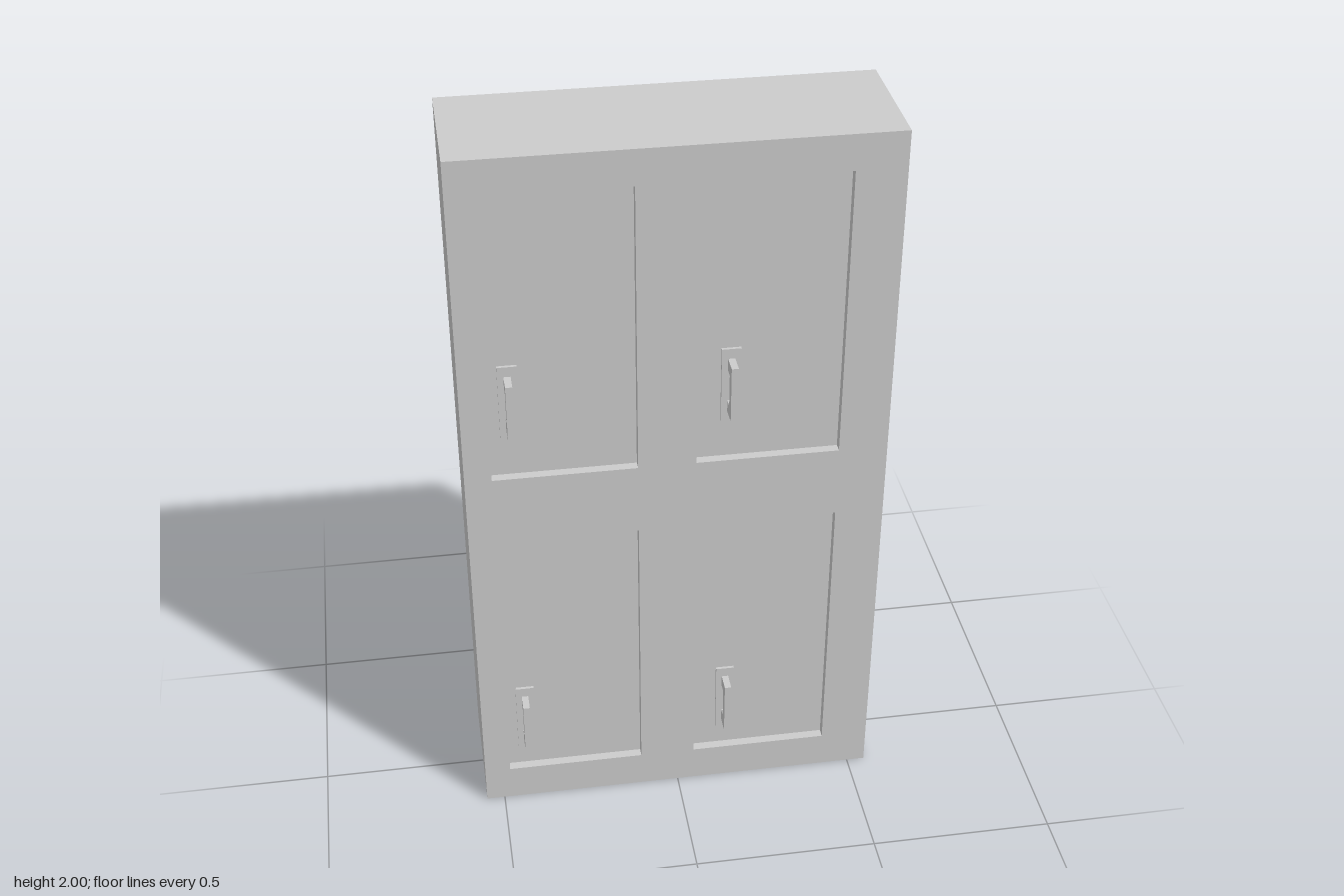
import * as THREE from 'three';

const FRONT = 0.16, BACK = -0.195, WIDTH = 1.1, HEIGHT = 2;
const DOOR_W = 0.375, DOOR_H = 0.8, LOCKER_DEPTH = 0.17, RECESS = 0.025;

const material = new THREE.MeshStandardMaterial({ color: 0xcccccc, side: THREE.DoubleSide });

function add(parent, name, geometry, x = 0, y = 0, z = 0) {
  const mesh = new THREE.Mesh(geometry, material);
  mesh.name = name;
  mesh.position.set(x, y, z);
  parent.add(mesh);
  return mesh;
}

const box = (w, h, d) => new THREE.BoxGeometry(w, h, d);

function rect(path, x0, y0, x1, y1) {
  path.moveTo(x0, y0);
  path.lineTo(x1, y0);
  path.lineTo(x1, y1);
  path.lineTo(x0, y1);
  path.closePath();
  return path;
}

// Back plate with a square-cornered pull standing out from it
function makeHandle() {
  const handle = new THREE.Group();
  handle.name = 'handle';
  add(handle, 'handlePlate', box(0.05, 0.212, 0.008), 0, 0, 0.004);
  // side profile: u runs outwards from the door, v runs up
  const profile = rect(new THREE.Shape(), 0.004, -0.078, 0.058, 0.078);
  profile.holes.push(rect(new THREE.Path(), 0.008, -0.045, 0.033, 0.045));
  const pull = new THREE.ExtrudeGeometry(profile, { depth: 0.018, bevelEnabled: false });
  pull.translate(0, 0, -0.009).rotateY(-Math.PI / 2);
  add(handle, 'handlePull', pull);
  return handle;
}

// One compartment: thin walls, recessed door, shelves and handle; origin at its lower left front corner
function makeLocker(shelfTops, handleX, handleY) {
  const locker = new THREE.Group();
  locker.name = 'locker';
  const midX = DOOR_W / 2, midY = DOOR_H / 2, midZ = -LOCKER_DEPTH / 2;
  for (const [name, x] of [['lockerRightWall', 0], ['lockerLeftWall', DOOR_W]]) {
    add(locker, name, new THREE.PlaneGeometry(LOCKER_DEPTH, DOOR_H), x, midY, midZ).rotation.y = Math.PI / 2;
  }
  for (const [name, y] of [['lockerFloor', 0], ['lockerRoof', DOOR_H]]) {
    add(locker, name, new THREE.PlaneGeometry(DOOR_W, LOCKER_DEPTH), midX, y, midZ).rotation.x = -Math.PI / 2;
  }
  add(locker, 'lockerBack', new THREE.PlaneGeometry(DOOR_W, DOOR_H), midX, midY, -LOCKER_DEPTH);
  add(locker, 'door', new THREE.PlaneGeometry(DOOR_W, DOOR_H), midX, midY, -RECESS);
  // shelves show slightly through the back
  const shelfDepth = LOCKER_DEPTH - RECESS - 0.01;
  for (const top of shelfTops) {
    add(locker, 'shelf', box(DOOR_W - 0.002, 0.025, shelfDepth), midX, top - 0.0125,
      -LOCKER_DEPTH - 0.004 + shelfDepth / 2);
  }
  const handle = makeHandle();
  handle.position.set(handleX, handleY, -RECESS);
  locker.add(handle);
  return locker;
}

export function createModel() {
  const model = new THREE.Group();
  model.name = 'lockerCabinet';
  const depth = FRONT - BACK, midZ = (FRONT + BACK) / 2;

  const columns = [{ x: -0.48, handleX: 0.054 }, { x: 0.046, handleX: 0.09 }];
  const rows = [
    { y: 0.105, handleY: 0.173, shelves: [0.14, 0.375, 0.61] },
    { y: 1.105, handleY: 0.218, shelves: [0.11, 0.35, 0.585] },
  ];

  // Front sheet with one opening per locker
  const front = rect(new THREE.Shape(), -WIDTH / 2, 0, WIDTH / 2, HEIGHT);
  for (const c of columns) {
    for (const r of rows) {
      front.holes.push(rect(new THREE.Path(), c.x, r.y, c.x + DOOR_W, r.y + DOOR_H));
      const locker = makeLocker(r.shelves, c.handleX, r.handleY);
      locker.position.set(c.x, r.y, FRONT);
      model.add(locker);
    }
  }
  add(model, 'frontPanel', new THREE.ShapeGeometry(front), 0, 0, FRONT);

  // Outer sheets; back and underside stay open
  for (const [name, s] of [['rightPanel', -1], ['leftPanel', 1]]) {
    add(model, name, new THREE.PlaneGeometry(depth, HEIGHT), s * WIDTH / 2, HEIGHT / 2, midZ).rotation.y = s * Math.PI / 2;
  }
  add(model, 'topPanel', new THREE.PlaneGeometry(WIDTH, depth), 0, HEIGHT, midZ).rotation.x = -Math.PI / 2;
  return model;
}
